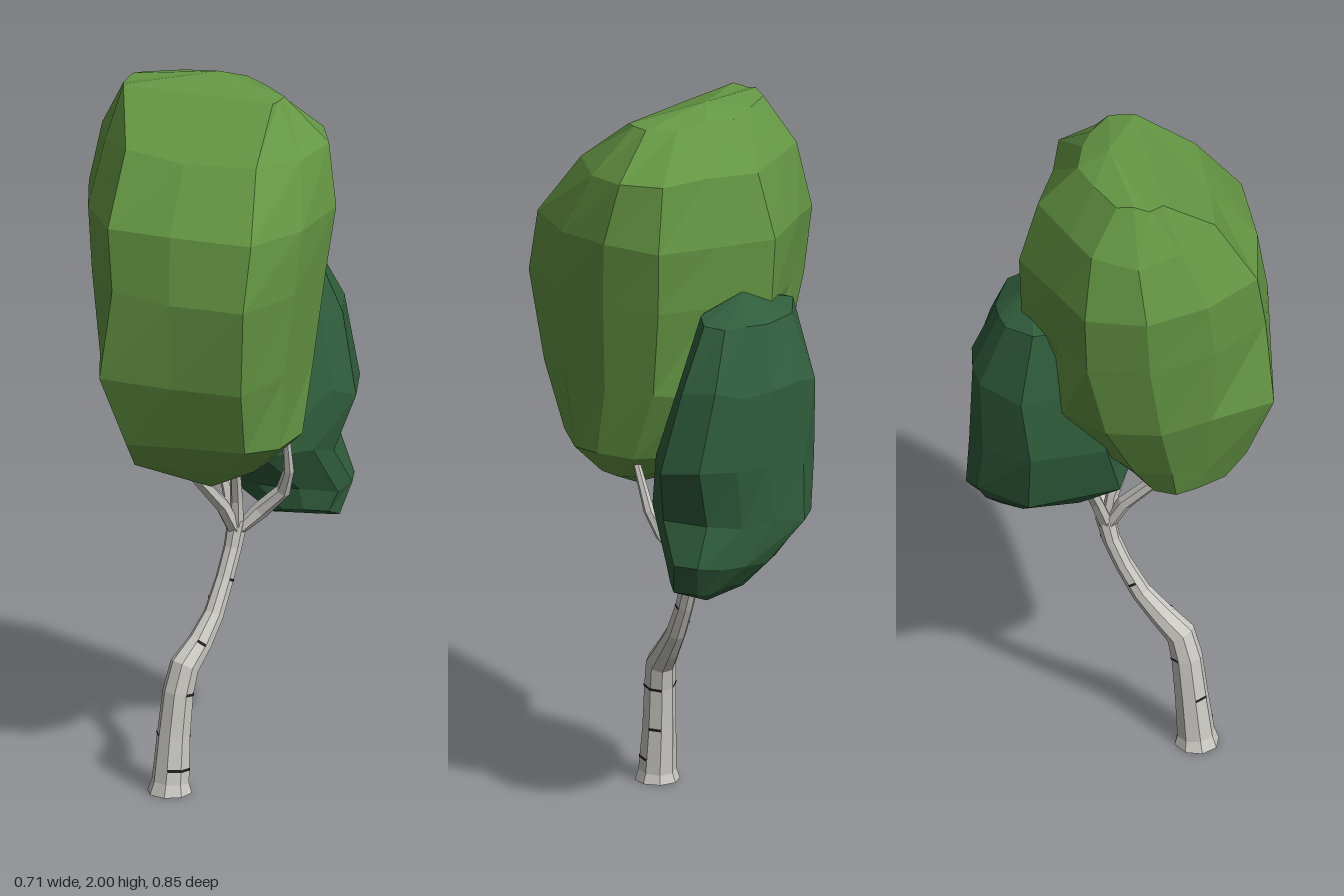
import * as THREE from 'three';

const mat = (name, color) => {
  const m = new THREE.MeshStandardMaterial({ color });
  m.name = name;
  return m;
};
const V = (p) => new THREE.Vector3(p[0], p[1], p[2]);
const UP = new THREE.Vector3(0, 1, 0);

// Faceted skin over rings listed bottom to top, closed at both end points
function skin(rings, bottom, top) {
  const pos = [];
  const tri = (...pts) => pts.forEach((p) => pos.push(p.x, p.y, p.z));
  const n = rings[0].length;
  for (let j = 0; j < n; j++) {
    const k = (j + 1) % n;
    for (let i = 0; i < rings.length - 1; i++) {
      const a = rings[i][j], b = rings[i][k], c = rings[i + 1][j], d = rings[i + 1][k];
      tri(a, c, b);
      tri(b, c, d);
    }
    tri(bottom, rings[0][j], rings[0][k]);
    const last = rings[rings.length - 1];
    tri(top, last[k], last[j]);
  }
  const g = new THREE.BufferGeometry();
  g.setAttribute('position', new THREE.Float32BufferAttribute(pos, 3));
  g.computeVertexNormals();
  return g;
}

// Tilt of the limb at point i of its path
function tilt(path, i) {
  const a = V(path[Math.max(i - 1, 0)]);
  const b = V(path[Math.min(i + 1, path.length - 1)]);
  const dir = i === 0 ? UP : b.sub(a).normalize();
  return new THREE.Quaternion().setFromUnitVectors(UP, dir);
}

// Tapered limb through points [x, y, z, radius]
function limb(path, sides) {
  const rings = path.map((p, i) => {
    const q = tilt(path, i);
    return Array.from({ length: sides }, (_, j) => {
      const a = (j / sides) * Math.PI * 2;
      return new THREE.Vector3(Math.cos(a) * p[3], 0, Math.sin(a) * p[3]).applyQuaternion(q).add(V(p));
    });
  });
  return skin(rings, V(path[0]), V(path[path.length - 1]));
}

// Leafy mass: levels [outline, y, xMin, xMax, zMin, zMax], slightly roughened
function crown(levels, bottom, top, seed, rough) {
  let s = seed;
  const rnd = () => {
    s = (s * 16807) % 2147483647;
    return (s / 2147483647 - 0.5) * 2 * rough;
  };
  const rings = levels.map(([outline, y, x0, x1, z0, z1]) => outline.map(([u, w]) => new THREE.Vector3(
    (x0 + x1) / 2 + (u * (x1 - x0)) / 2 + rnd() * 0.4,
    y + rnd(),
    (z0 + z1) / 2 + (w * (z1 - z0)) / 2 + rnd() * 0.4,
  )));
  return skin(rings, V(bottom), V(top));
}

export function createModel() {
  const tree = new THREE.Group();
  tree.name = 'tree';
  const bark = mat('paleBark', 0xcbcac4);
  const markMat = mat('darkBarkMarks', 0x24221f);
  markMat.side = THREE.DoubleSide;
  const leaf = mat('lightLeaves', 0x659744);
  const darkLeaf = mat('darkLeaves', 0x305d3c);
  const add = (name, geometry, material) => {
    const m = new THREE.Mesh(geometry, material);
    m.name = name;
    tree.add(m);
    return m;
  };

  // Crooked trunk with a flared foot
  const trunk = [
    [-0.082, 0, 0.185, 0.062], [-0.08, 0.03, 0.183, 0.052], [-0.074, 0.16, 0.172, 0.046],
    [-0.064, 0.28, 0.162, 0.043], [-0.05, 0.35, 0.148, 0.041], [-0.018, 0.405, 0.1, 0.034],
    [0.008, 0.47, 0.052, 0.028], [0.028, 0.56, 0.008, 0.025], [0.043, 0.64, -0.022, 0.025],
    [0.053, 0.715, -0.037, 0.028],
  ];
  add('trunk', limb(trunk, 8), bark);

  // Branches fanning out into the leaves
  const fork = [0.05, 0.68, -0.032, 0.022];
  [
    [fork, [0.022, 0.77, 0.01, 0.021], [-0.03, 0.88, 0.1, 0.018], [-0.06, 1.02, 0.15, 0.01]],
    [fork, [0.055, 0.78, -0.015, 0.018], [0.062, 0.9, 0.03, 0.014], [0.065, 1.05, 0.07, 0.01]],
    [fork, [0.115, 0.745, -0.045, 0.024], [0.18, 0.81, -0.035, 0.021], [0.203, 0.88, -0.005, 0.015], [0.205, 1.02, 0.04, 0.01]],
    [fork, [0.02, 0.79, -0.07, 0.019], [-0.02, 0.89, -0.11, 0.015], [-0.04, 1.02, -0.15, 0.01]],
  ].forEach((path, i) => add('branch' + (i + 1), limb(path, 6), bark));

  // Thin dark bark marks: [segment, fraction, first side, sides covered]
  [[1, 0.3, 0, 2], [2, 0, 6, 1], [2, 0, 2, 1], [3, 0, 1, 2], [3, 0.1, 4, 1], [4, 0.9, 0, 1],
    [6, 0.4, 5, 1], [7, 0, 1, 1], [8, 0.2, 3, 1], [8, 0.8, 7, 1]].forEach(([i, f, first, count]) => {
    const a = trunk[i], b = trunk[i + 1];
    const r = THREE.MathUtils.lerp(a[3], b[3], f) + 0.0015;
    const m = add('barkMark', new THREE.CylinderGeometry(
      r, r, 0.008, count, 1, true, (first * Math.PI) / 4, (count * Math.PI) / 4), markMat);
    m.position.copy(V(a).lerp(V(b), f));
    m.quaternion.copy(tilt(trunk, i).slerp(tilt(trunk, i + 1), f));
  });

  // Large light crown: boxy below, pointed back above, wide ridge on top
  const lower = [[1, -0.02], [0.86, 0.52], [0.56, 1], [-0.08, 0.96], [-0.8, 0.92],
    [-0.94, 0.3], [-1, -0.2], [-0.82, -0.66], [-0.42, -0.98], [0.06, -1], [0.6, -0.8], [0.88, -0.5]];
  const upper = [[1, -0.02], [0.86, 0.52], [0.56, 1], [-0.08, 0.94], [-0.6, 0.8],
    [-0.88, 0.33], [-1, -0.22], [-0.8, -0.68], [-0.45, -0.82], [0.06, -1], [0.46, -0.7], [0.88, -0.48]];
  const ridge = [[1, 0.3], [0.98, 0.7], [0.92, 1], [-0.1, 0.82], [-0.97, 0.65],
    [-1, 0.3], [-0.95, -0.1], [-0.85, -0.5], [-0.4, -0.85], [0.06, -1], [0.4, -0.7], [0.75, -0.25]];
  add('mainCrown', crown(
    [
      [lower, 0.95, -0.2, 0.18, 0.0, 0.25], [lower, 1.03, -0.225, 0.27, -0.08, 0.32],
      [lower, 1.23, -0.295, 0.29, -0.21, 0.385], [upper, 1.48, -0.335, 0.325, -0.28, 0.42],
      [upper, 1.66, -0.36, 0.345, -0.29, 0.385], [upper, 1.835, -0.325, 0.315, -0.23, 0.25],
      [ridge, 1.97, -0.25, 0.195, -0.13, 0.085],
    ],
    [0.03, 0.88, 0.17], [0, 2, -0.04], 17, 0.01), leaf);

  // Smaller dark crown low at the back
  const rear = [[-1, -0.4], [-0.5, -0.96], [-0.2, -1], [0.2, -0.85], [0.58, -0.6],
    [0.9, -0.3], [1, 0.3], [0.8, 0.62], [0.2, 1], [-0.5, 0.98], [-1, 0.75]];
  add('backCrown', crown(
    [
      [rear, 0.72, 0.12, 0.3, -0.31, -0.1], [rear, 0.79, 0.02, 0.335, -0.36, -0.09],
      [rear, 0.91, -0.1, 0.305, -0.42, 0.02], [rear, 1.07, -0.14, 0.355, -0.41, -0.03],
      [rear, 1.28, -0.12, 0.31, -0.41, -0.08], [rear, 1.46, -0.08, 0.22, -0.34, -0.14],
    ],
    [0.24, 0.68, -0.23], [0.08, 1.52, -0.23], 91, 0.016), darkLeaf);

  return tree;
}
